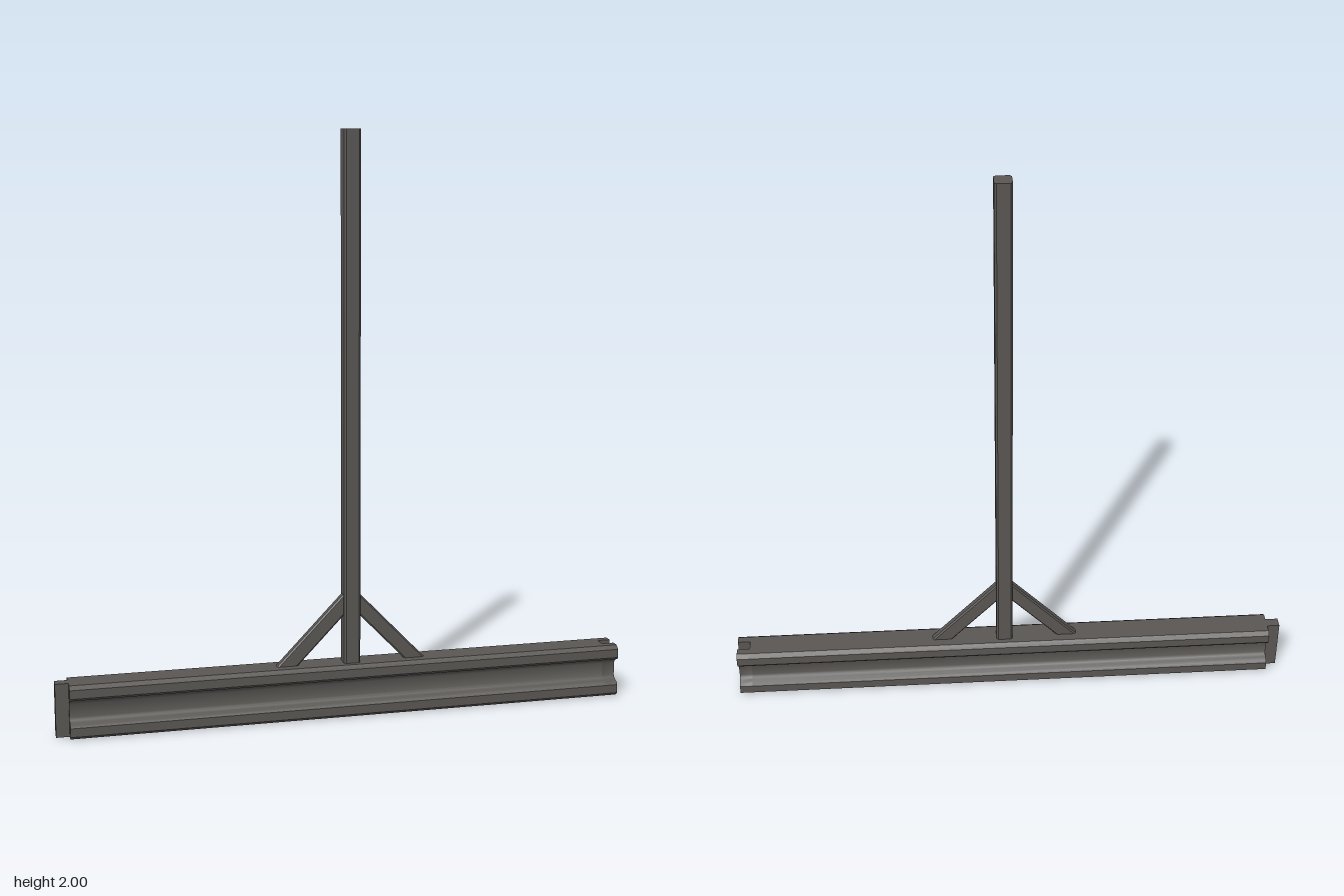
import * as THREE from 'three';
import { toCreasedNormals } from 'three/addons/utils/BufferGeometryUtils.js';

const BEAM_TOP = 0.185;
const POLE_X = 0.02;
const SLOT = 0.019; // half thickness of tongue and slot

// Outer side of the rail section, bottom to top, as [half width, height]
const side = [
  [0.046, 0], [0.062, 0.012], [0.062, 0.042], [0.056, 0.05], [0.042, 0.055], [0.033, 0.061], [0.028, 0.07],
  [0.028, 0.115], [0.033, 0.124], [0.042, 0.13], [0.056, 0.135], [0.062, 0.143], [0.062, 0.173], [0.046, BEAM_TOP],
];

function polygon(points) {
  return new THREE.Shape(points.map(([x, y]) => new THREE.Vector2(x, y)));
}

function extrude(shape, depth) {
  const geometry = new THREE.ExtrudeGeometry(shape, { depth, bevelEnabled: false, steps: 1 });
  return toCreasedNormals(geometry, 0.6);
}

// Rectangular bar section with cut corners
function barShape(w, h, c) {
  return polygon([
    [-w + c, -h], [w - c, -h], [w, -h + c], [w, h - c],
    [w - c, h], [-w + c, h], [-w, h - c], [-w, -h + c],
  ]);
}

export function createModel() {
  const group = new THREE.Group();
  const steel = new THREE.MeshStandardMaterial({ color: 0x595653 });
  steel.name = 'dark steel';

  function add(name, geometry) {
    const mesh = new THREE.Mesh(geometry, steel);
    mesh.name = name;
    group.add(mesh);
    return mesh;
  }

  // Section extruded along x between two stations
  function rail(name, points, x0, x1) {
    const geometry = extrude(polygon(points), x1 - x0).rotateY(Math.PI / 2);
    add(name, geometry).position.x = x0;
  }

  // Main rail
  const mirrored = side.map(([z, y]) => [-z, y]).reverse();
  rail('rail', [...side, ...mirrored], -0.95, 0.945);

  // Two cheeks leaving an open slot at the left end
  rail('backSlotCheek', [[SLOT, 0], ...side, [SLOT, BEAM_TOP]], 0.945, 0.99);
  rail('frontSlotCheek', [[-SLOT, BEAM_TOP], ...mirrored, [-SLOT, 0]], 0.945, 0.99);

  // Tongue at the right end
  const tongue = add('tongue', new THREE.BoxGeometry(0.045, BEAM_TOP, SLOT * 2));
  tongue.position.set(-0.9725, BEAM_TOP / 2, 0);

  // Upright pole
  const pole = add('pole', extrude(barShape(0.029, 0.029, 0.007), 2 - 0.17).rotateX(-Math.PI / 2));
  pole.position.set(POLE_X, 0.17, 0);

  // Diagonal braces, sunk a little into rail and pole
  for (const s of [-1, 1]) {
    const foot = new THREE.Vector3(POLE_X + s * 0.247, 0.162, 0);
    const head = new THREE.Vector3(POLE_X + s * 0.01, 0.408, 0);
    const geometry = extrude(barShape(0.015, 0.0265, 0.005), foot.distanceTo(head));
    const brace = add(s < 0 ? 'rightBrace' : 'leftBrace', geometry);
    brace.position.copy(foot);
    brace.lookAt(head);
  }

  return group;
}
